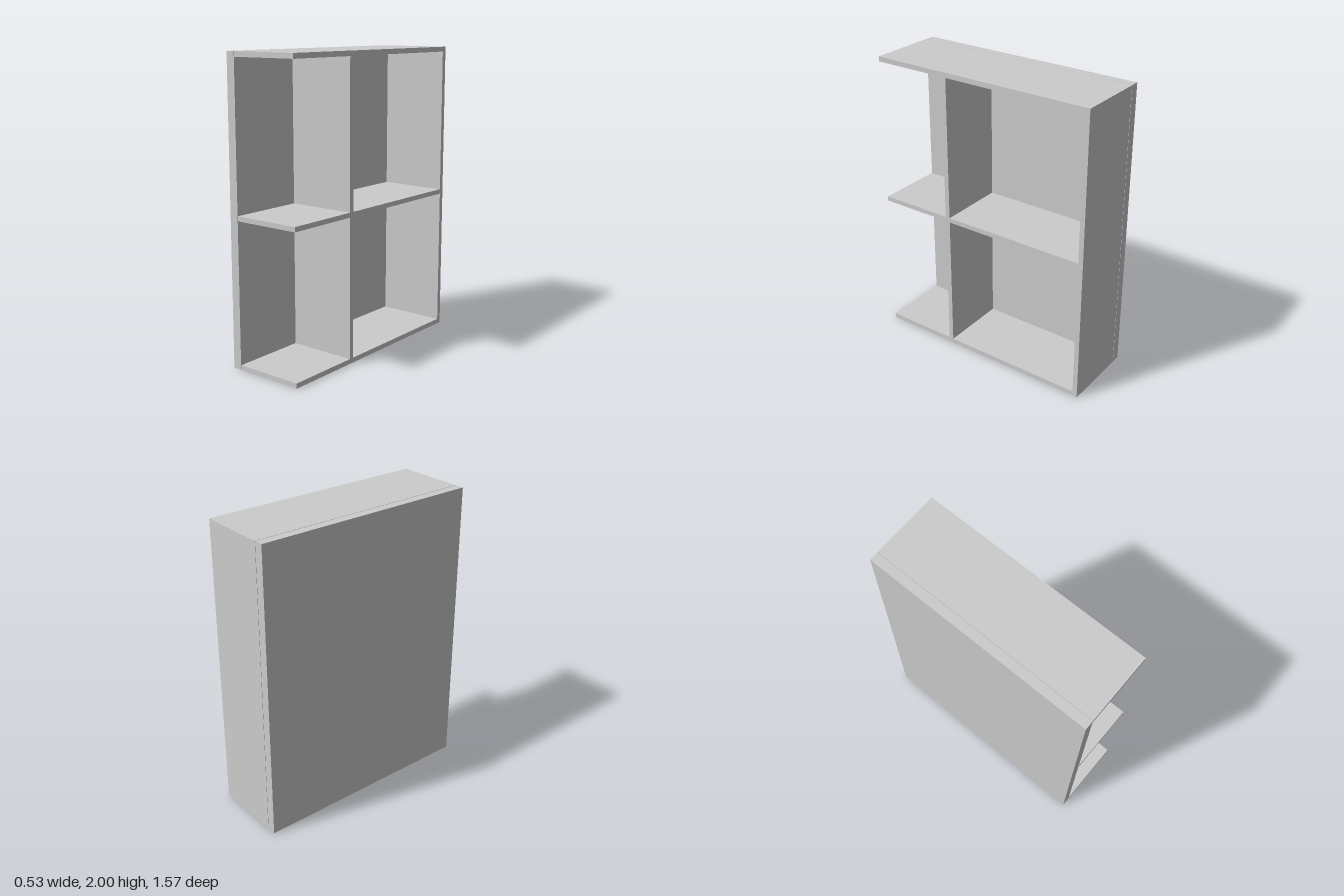
import * as THREE from 'three';

const material = new THREE.MeshStandardMaterial({ color: 0xcccccc, flatShading: true });

// A board given by its lower and upper limits on each axis
function board(name, [x0, x1], [y0, y1], [z0, z1]) {
  const mesh = new THREE.Mesh(new THREE.BoxGeometry(x1 - x0, y1 - y0, z1 - z0), material);
  mesh.name = name;
  mesh.position.set((x0 + x1) / 2, (y0 + y1) / 2, (z0 + z1) / 2);
  return mesh;
}

export function createModel() {
  const group = new THREE.Group();
  group.name = 'shelfUnit';

  const halfX = 0.267, halfZ = 0.787, t = 0.033;
  const depth = [-0.203, halfX]; // shelf depth, open towards +x
  const endZ = -halfZ + t; // inner face of the end panel
  const divider = [0.24, 0.273];

  group.add(
    // Thick backing and the closed end
    board('backPanel', [-halfX, -0.206], [0, 2], [-halfZ, halfZ]),
    board('endPanel', depth, [0, 2], [-halfZ, endZ]),
    // Long horizontal boards
    board('topBoard', depth, [2 - t, 2], [endZ, halfZ]),
    board('bottomBoard', depth, [0, t], [endZ, halfZ]),
    // Upright divider with a shelf on each side
    board('divider', depth, [t, 2 - t], divider),
    board('frontShelf', depth, [0.968, 1], [divider[1], halfZ]),
    board('rearShelf', depth, [0.968, 1], [endZ, divider[0]])
  );
  return group;
}
